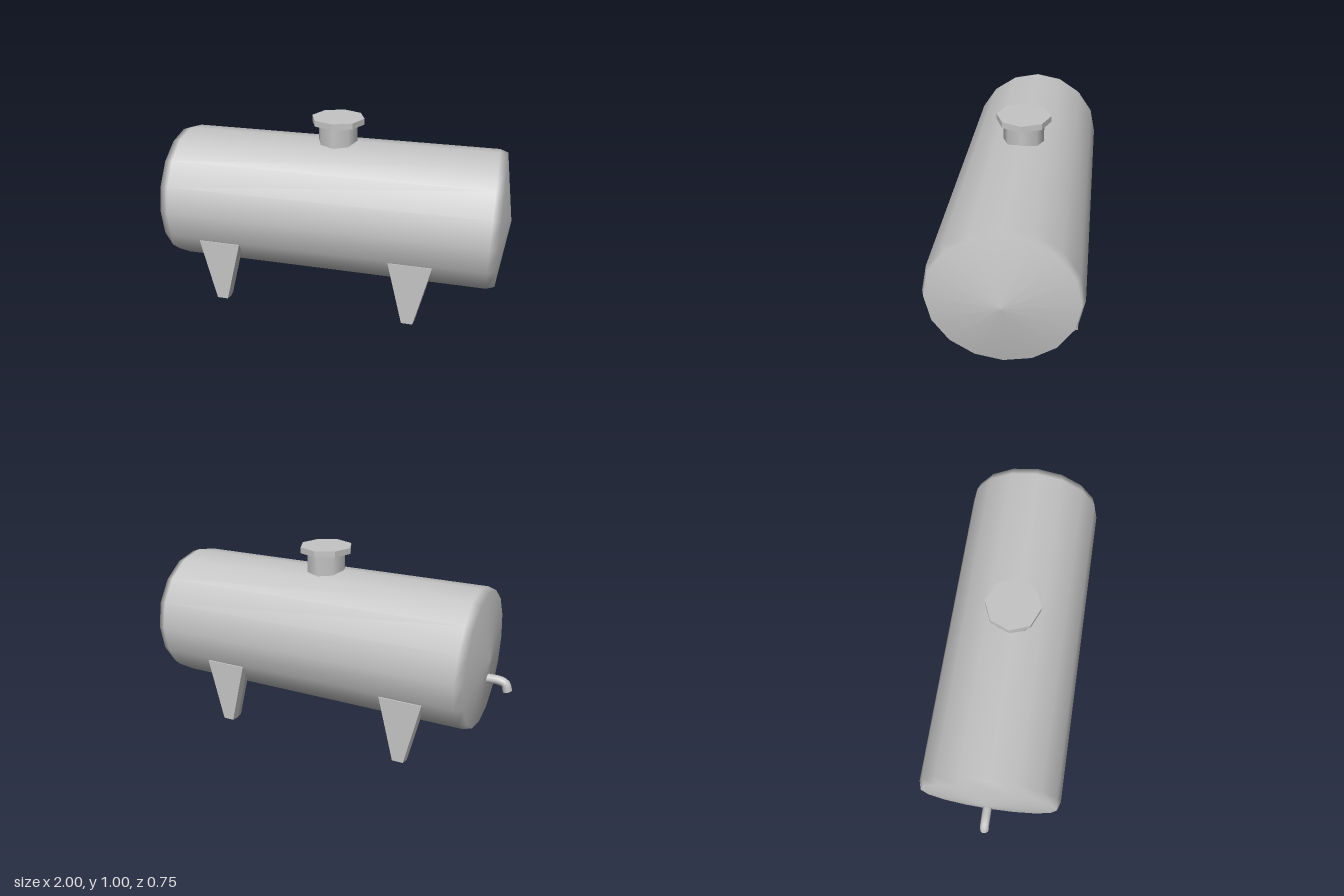
import * as THREE from 'three';

// Flat-shaded copy of a geometry
function faceted(geometry) {
  const flat = geometry.toNonIndexed();
  flat.computeVertexNormals();
  return flat;
}

// Tapered leg with a slight ridge down the middle of each side
function legGeometry() {
  const height = 0.345;
  const geo = new THREE.BoxGeometry(2, height, 0.08, 1, 1, 2);
  geo.translate(0, height / 2, 0);
  const p = geo.attributes.position;
  for (let i = 0; i < p.count; i++) {
    const half = THREE.MathUtils.lerp(0.036, 0.12, p.getY(i) / height);
    const inset = Math.abs(p.getZ(i)) > 0.01 ? 0.006 : 0;
    p.setX(i, Math.sign(p.getX(i)) * (half - inset));
  }
  return faceted(geo);
}

export function createModel() {
  const group = new THREE.Group();
  const grey = new THREE.MeshStandardMaterial({ color: 0xc4c4c4 });
  grey.name = 'grey metal';

  const add = (name, geometry, x = 0, y = 0, z = 0) => {
    const mesh = new THREE.Mesh(geometry, grey);
    mesh.name = name;
    mesh.position.set(x, y, z);
    group.add(mesh);
    return mesh;
  };

  // Horizontal tank with shallow conical ends
  const profile = [
    [0, -0.88], [0.358, -0.845], [0.373, -0.8],
    [0.373, 0.905], [0.358, 0.948], [0, 1],
  ].map(([r, h]) => new THREE.Vector2(r, h));
  const tank = new THREE.LatheGeometry(profile, 16);
  tank.rotateZ(-Math.PI / 2);
  add('tank', tank, 0, 0.503, 0);

  // Four legs
  const leg = legGeometry();
  for (const x of [-0.522, 0.518]) {
    for (const z of [-0.303, 0.3]) {
      add(z > 0 ? 'frontLeg' : 'backLeg', leg, x, 0, z);
    }
  }

  // Filler neck and octagonal lid
  add('neck', new THREE.CylinderGeometry(0.107, 0.107, 0.17, 8, 1, true), 0.055, 0.89, -0.004);
  add('lid', faceted(new THREE.CylinderGeometry(0.143, 0.143, 0.032, 8)), 0.055, 0.984, -0.005);

  // Outlet pipe bending down at its end
  const path = new THREE.CatmullRomCurve3([
    [-0.85, 0.405], [-0.935, 0.405], [-0.965, 0.393], [-0.979, 0.354],
  ].map(([x, y]) => new THREE.Vector3(x, y, -0.005)));
  add('outletPipe', new THREE.TubeGeometry(path, 12, 0.024, 10));
  const end = path.getPoint(1);
  const cap = add('outletEnd', new THREE.CircleGeometry(0.024, 10), end.x, end.y, end.z);
  cap.quaternion.setFromUnitVectors(new THREE.Vector3(0, 0, 1), path.getTangent(1));

  return group;
}
